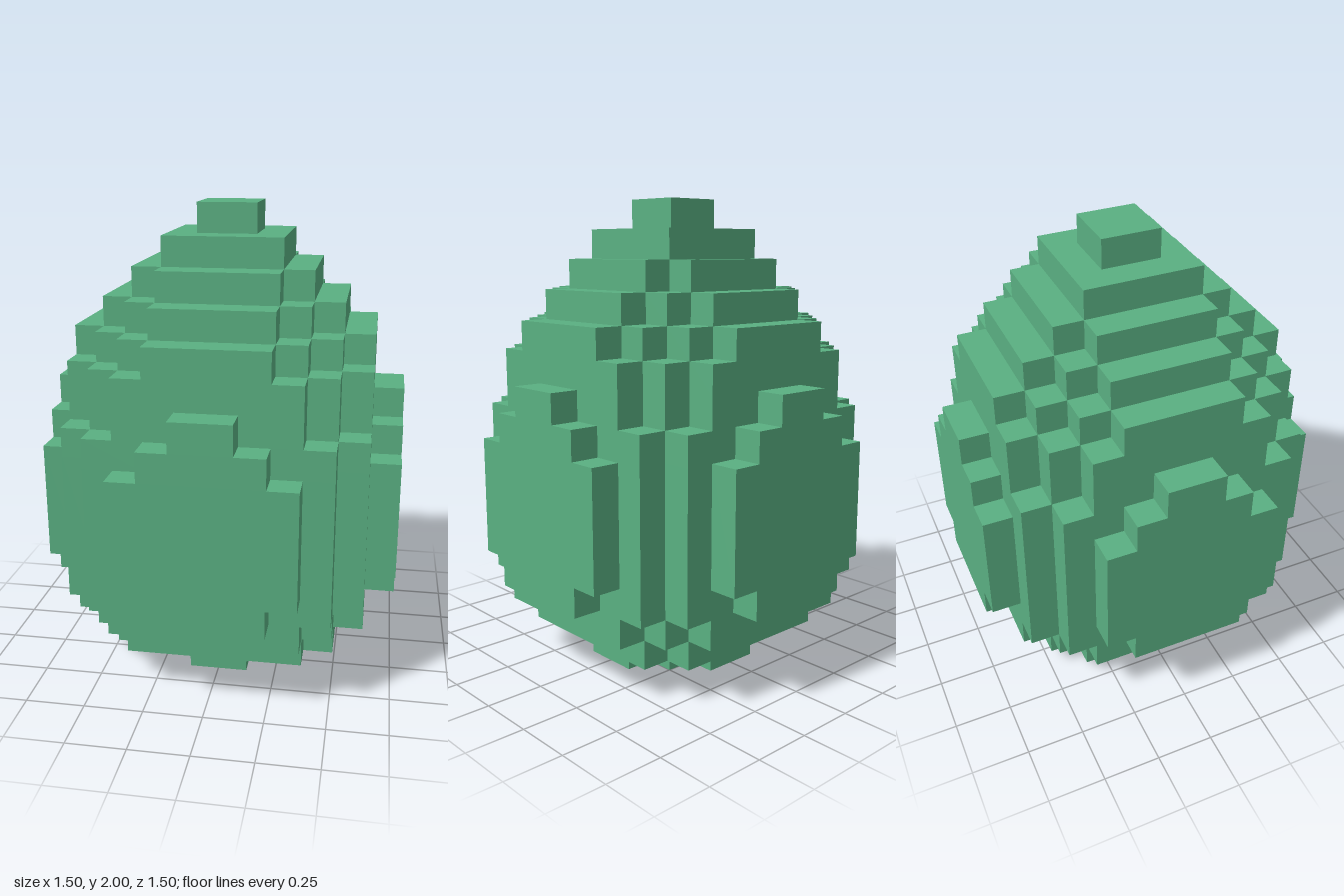
import * as THREE from 'three';

const U = 0.125; // size of one block

// Each tier: first block level, height in blocks, half-widths of its rows from the middle outwards
const TIERS = [
  ['foot', 0, 1, [3, 2, 1]],
  ['lowerStep', 1, 1, [4, 4, 4, 3]],
  ['lowerBelly', 2, 1, [5, 5, 5, 4, 3]],
  ['bellyBottom', 3, 1, [6, 6, 5, 5, 4, 2]],
  ['belly', 4, 4, [6, 6, 6, 5, 4, 3]],
  ['bellyTop', 8, 1, [6, 6, 5, 5, 4, 2]],
  ['shoulderBottom', 9, 1, [6, 5, 5, 4, 3, 1]],
  ['shoulder', 10, 1, [5, 5, 5, 4, 3]],
  ['shoulderTop', 11, 1, [5, 5, 4, 3, 2]],
  ['upperStep', 12, 1, [4, 4, 3, 2]],
  ['neck', 13, 1, [3, 3, 2]],
  ['crown', 14, 1, [2, 2]],
  ['tip', 15, 1, [1]],
];

// Stepped outline of a tier, mirrored in both directions
function outline(rows) {
  const quarter = [];
  rows.forEach((w, i) => {
    if (i === 0 || rows[i - 1] !== w) quarter.push([w, i]);
    if (rows[i + 1] !== w) quarter.push([w, i + 1]);
  });
  quarter.shift(); // the point on the axis is not a corner
  const back = [...quarter].reverse();
  const pts = [
    ...quarter,
    ...back.map(([x, y]) => [-x, y]),
    ...quarter.map(([x, y]) => [-x, -y]),
    ...back.map(([x, y]) => [x, -y]),
  ];
  return new THREE.Shape(pts.map(([x, y]) => new THREE.Vector2(x * U, y * U)));
}

export function createModel() {
  const group = new THREE.Group();
  group.name = 'blockEgg';
  const green = new THREE.MeshStandardMaterial({ color: 0x5ab082 });
  green.name = 'shellGreen';

  // Stack the tiers from the foot to the tip
  for (const [name, level, height, rows] of TIERS) {
    const geo = new THREE.ExtrudeGeometry(outline(rows), { depth: height * U, bevelEnabled: false });
    geo.rotateX(-Math.PI / 2);
    const mesh = new THREE.Mesh(geo, green);
    mesh.name = name;
    mesh.position.y = level * U;
    group.add(mesh);
  }
  return group;
}
